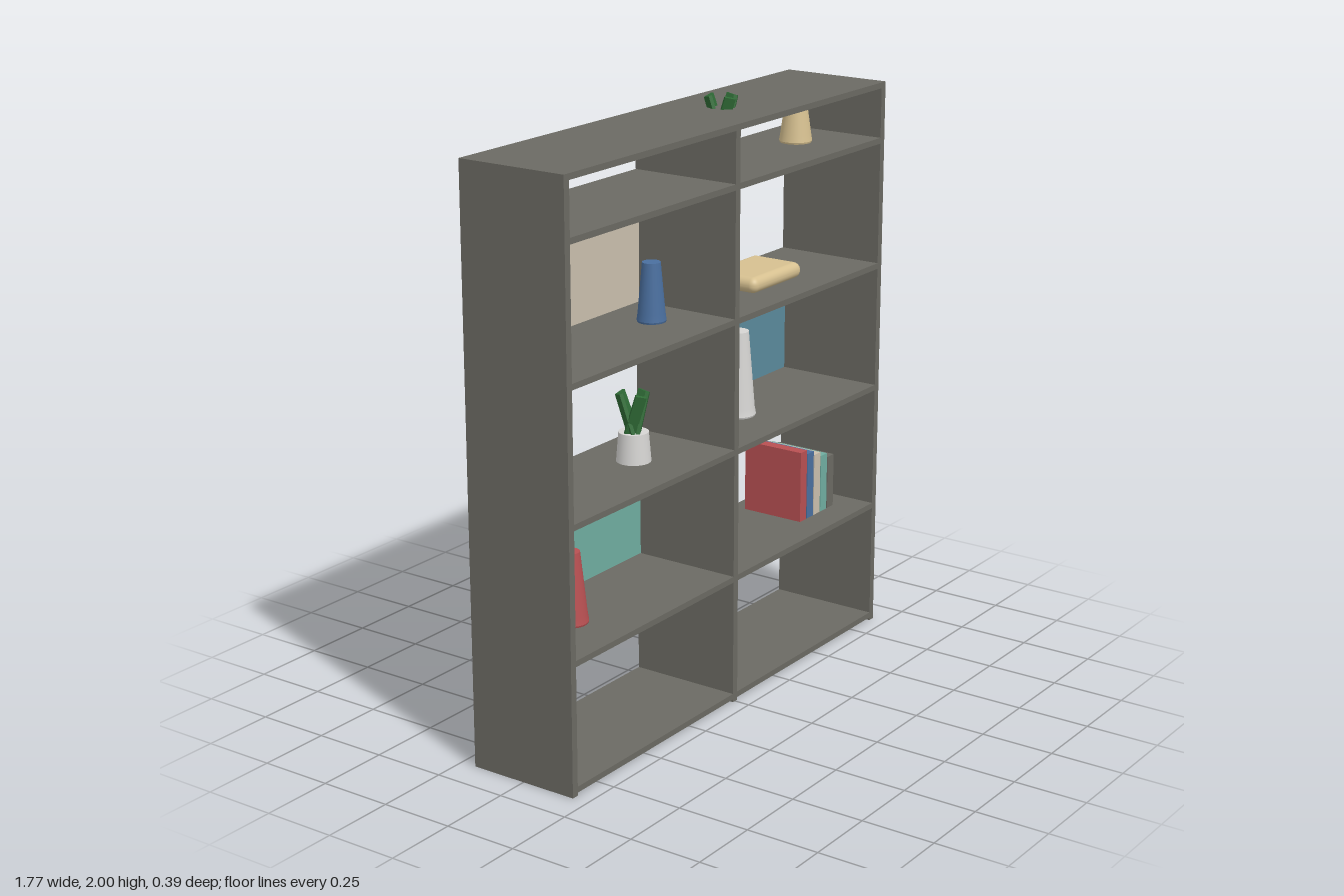
import * as THREE from 'three';
import { RoundedBoxGeometry } from 'three/addons/geometries/RoundedBoxGeometry.js';

const mat = (name, color) => {
  const m = new THREE.MeshStandardMaterial({ color });
  m.name = name;
  return m;
};

export function createModel() {
  const frame = mat('frame grey', 0x6b6a63), beige = mat('beige', 0xcabfad);
  const teal = mat('teal', 0x6fada0), petrol = mat('petrol blue', 0x5a899b);
  const red = mat('red', 0xb85052), blue = mat('blue', 0x4a6f9f);
  const tan = mat('tan', 0xd6c090), white = mat('off white', 0xd6d5d3);
  const green = mat('leaf green', 0x2f6b36);

  const model = new THREE.Group();
  const add = (name, geometry, material, x, y, z = 0, parent = model) => {
    const mesh = new THREE.Mesh(geometry, material);
    mesh.name = name;
    mesh.position.set(x, y, z);
    parent.add(mesh);
    return mesh;
  };
  const box = (w, h, d) => new THREE.BoxGeometry(w, h, d);

  // Frame: two sides, a divider and six shelf levels in two bays
  const H = 1.96, D = 0.39, T = 0.025, half = 0.887;
  const bayWidth = half - T * 1.5, bayX = T / 2 + bayWidth / 2;
  for (const s of [-1, 1]) add(s > 0 ? 'leftSide' : 'rightSide', box(T, H, D), frame, s * (half - T / 2), H / 2);
  add('divider', box(T, H, D), frame, 0, H / 2);
  const levels = [0.02, 0.44, 0.88, 1.32, 1.76, 1.95];
  for (const y of levels) {
    for (const s of [-1, 1]) add('shelf', box(bayWidth, 0.02, D), frame, s * bayX, y);
  }

  // Coloured back panels
  const panels = [[-1, 0.45, teal], [1, 0.89, petrol], [-1, 1.33, beige]];
  for (const [s, y, m] of panels) add('backPanel', box(bayWidth, 0.411, 0.01), m, s * bayX, y + 0.2055, -0.189);

  // Vases: tapered bodies with a slightly flared foot
  const vase = (x, y, h, rBottom, rTop, m) => {
    const pts = [[0, 0], [rBottom * 0.96, 0], [rBottom, 0.006], [rBottom * 0.93, 0.03], [rTop, h], [0, h]];
    const parts = [pts.slice(0, 2), pts.slice(1, 3), pts.slice(2, 5), pts.slice(4)];
    const group = new THREE.Group();
    group.name = 'vase';
    group.position.set(x, y, 0);
    for (const p of parts) {
      add('vaseSection', new THREE.LatheGeometry(p.map(([a, b]) => new THREE.Vector2(a, b)), 24), m, 0, 0, 0, group);
    }
    model.add(group);
  };
  vase(-0.635, 0.455, 0.238, 0.058, 0.032, red);
  vase(0.29, 0.897, 0.293, 0.064, 0.038, white);
  vase(-0.197, 1.336, 0.194, 0.048, 0.03, blue);
  vase(0.632, 1.773, 0.157, 0.056, 0.034, tan);

  // Potted plants: a tapered pot with a ring of tilted blade leaves
  const plant = (x, y) => {
    const group = new THREE.Group();
    group.name = 'plant';
    group.position.set(x, y, 0);
    add('pot', new THREE.CylinderGeometry(0.049, 0.057, 0.098, 24), white, 0, 0.049, 0, group);
    for (let i = 0; i < 5; i++) {
      const leaf = add('leaf', box(0.036, 0.14, 0.012), green, 0, 0, 0, group);
      const a = (i / 5) * Math.PI * 2 + 0.5;
      leaf.position.set(Math.sin(a) * 0.03, 0.158, Math.cos(a) * 0.03);
      leaf.rotation.set(0.2, a, i % 2 ? 0.24 : -0.24, 'YXZ');
    }
    model.add(group);
  };
  plant(-0.297, 0.897);
  plant(0.193, 1.773);

  // Soft rounded box
  add('cushionBox', new RoundedBoxGeometry(0.29, 0.054, 0.2, 5, 0.026), tan, 0.388, 1.364);

  // Row of books, each a little shorter than the last
  const covers = [red, blue, beige, teal, frame];
  covers.forEach((m, i) => {
    const h = 0.252 - i * 0.0155;
    add('book', box(0.039, h, 0.23), m, 0.533 + i * 0.0435, 0.466 + h / 2);
  });

  return model;
}
